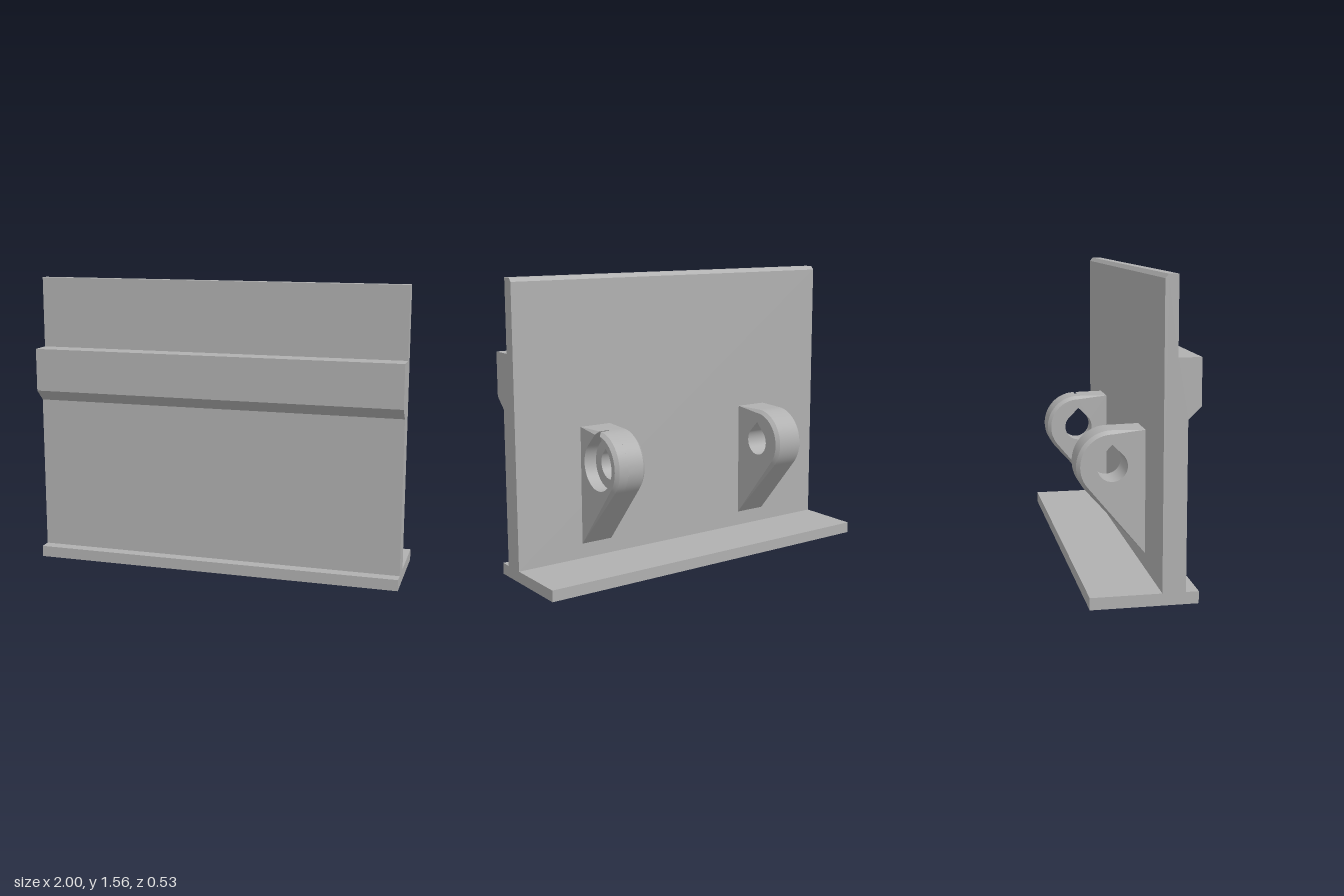
import * as THREE from 'three';
import { toCreasedNormals } from 'three/addons/utils/BufferGeometryUtils.js';

// Section coordinates are (u, y) with u = -z; parts run along x.
const BACK = -0.085;                 // rear face of the upright plate
const CU = 0.082, CY = 0.594;        // eye centre
const R = 0.18, HOLE = 0.078, POCKET = 0.132;
const HALF = 0.09, CHAMFER = 0.018, FLOOR = 0.02;
const rad = THREE.MathUtils.degToRad;

// Clockwise round-bottomed arc of a teardrop, open at its 45 degree shoulders
function dropArc(r) {
  const pts = [];
  for (let i = 0; i <= 36; i++) {
    const a = rad(45 - 270 * i / 36);
    pts.push([CU + r * Math.cos(a), CY + r * Math.sin(a)]);
  }
  return pts;
}

// Counter-clockwise lug outline: lower plate corner, tangent, eye arc, upper corner
function lugOutline(r, endDeg) {
  const du = BACK - CU, dy = 0.14 - CY;
  const start = Math.atan2(dy, du) + Math.acos(R / Math.hypot(du, dy));
  const pts = [[BACK, 0.14]];
  for (let i = 0; i <= 24; i++) {
    const a = start + (rad(endDeg) - start) * i / 24;
    pts.push([CU + r * Math.cos(a), CY + r * Math.sin(a)]);
  }
  return pts;
}

// Collects triangles given in (u, y, x)
class Builder {
  constructor() { this.pos = []; }
  tri(a, b, c) {
    const v = [a, b, c].map(p => new THREE.Vector3(p[2], p[1], -p[0]));
    const n = v[1].clone().sub(v[0]).cross(v[2].clone().sub(v[0]));
    if (n.length() < 1e-9) return;
    v.forEach(p => this.pos.push(p.x, p.y, p.z));
  }
  strip(a, b) {
    a.forEach((p, i) => {
      const j = (i + 1) % a.length;
      this.tri(p, a[j], b[j]);
      this.tri(p, b[j], b[i]);
    });
  }
  face(contour, holes, x, dir) {
    const v2 = l => l.map(p => new THREE.Vector2(p[0], p[1]));
    const all = [contour, ...holes].flat().map(p => [p[0], p[1], x]);
    for (const [i, j, k] of THREE.ShapeUtils.triangulateShape(v2(contour), holes.map(v2))) {
      const [a, b, c] = [all[i], all[j], all[k]];
      const area = (b[0] - a[0]) * (c[1] - a[1]) - (b[1] - a[1]) * (c[0] - a[0]);
      if (area * dir > 0) this.tri(a, b, c); else this.tri(a, c, b);
    }
  }
  geometry() {
    const g = new THREE.BufferGeometry();
    g.setAttribute('position', new THREE.Float32BufferAttribute(this.pos, 3));
    return toCreasedNormals(g, rad(20));
  }
}

const at = (loop, x) => loop.map(p => [p[0], p[1], x]);

// Hinge lug; the pocketed one has a wider teardrop recess breaking out at the top
function lugGeometry(pocketed) {
  const b = new Builder();
  const top = CY + R;
  const closed = r => [...lugOutline(r, 90), [BACK, top]];
  // chamfer fades to nothing where the lug meets the plate
  const edge = (loop, side) => loop.map(p => [p[0], p[1], side * (HALF - (p[0] === BACK ? 0 : CHAMFER))]);
  const outer = closed(R), inner = closed(R - CHAMFER);
  const hole = [[CU, CY + HOLE * Math.SQRT2], ...dropArc(HOLE)];

  b.face(inner, [hole], -HALF, -1);
  b.strip(at(inner, -HALF), edge(outer, -1));
  if (!pocketed) {
    b.strip(edge(outer, -1), edge(outer, 1));
    b.strip(edge(outer, 1), at(inner, HALF));
    b.strip(at(hole, -HALF), at(hole, HALF));
    b.face(inner, [hole], HALF, 1);
    return b.geometry();
  }

  b.strip(edge(outer, -1), at(outer, FLOOR));
  b.strip(at(hole, -HALF), at(hole, FLOOR));
  // Outline that dips through the slot and round the pocket
  const arc = dropArc(POCKET);
  const slotted = r => {
    const y = CY + r, s = CY + POCKET * Math.SQRT2 - y;
    return [...lugOutline(r, 80).slice(0), [CU + s, y], ...arc, [CU - s, y], [BACK, top]];
  };
  const full = slotted(R), inset = slotted(R - CHAMFER);
  const rim = full.map((p, i) => {
    const same = Math.hypot(p[0] - inset[i][0], p[1] - inset[i][1]) < 1e-6;
    return [p[0], p[1], same ? HALF : HALF - CHAMFER];
  });
  b.strip(at(full, FLOOR), rim);
  b.strip(rim, at(inset, HALF));
  b.face(inset, [], HALF, 1);
  const s = CY + POCKET * Math.SQRT2 - top;
  b.face([[CU + s, top], ...arc, [CU - s, top]], [hole], FLOOR, 1);
  return b.geometry();
}

export function createModel() {
  const group = new THREE.Group();
  group.name = 'hingedRail';
  const grey = new THREE.MeshStandardMaterial({ color: 0xb0b0b0 });
  grey.name = 'grey';

  // Constant section: foot, upright, front ledge and chamfered top
  const section = [
    [-0.263, 0], [0.263, 0], [0.263, 0.06], [BACK, 0.06], [BACK, 1.54], [-0.102, 1.56],
    [-0.15, 1.56], [-0.15, 1.18], [-0.263, 1.18], [-0.263, 0.95], [-0.2, 0.89],
    [-0.2, 0.06], [-0.263, 0.06],
  ];
  const shape = new THREE.Shape(section.map(p => new THREE.Vector2(...p)));
  const railGeo = new THREE.ExtrudeGeometry(shape, { depth: 2, bevelEnabled: false });
  railGeo.translate(0, 0, -1).rotateY(Math.PI / 2);
  const rail = new THREE.Mesh(railGeo, grey);
  rail.name = 'rail';
  group.add(rail);

  // Pair of hinge lugs on the rear face
  for (const side of [-1, 1]) {
    const lug = new THREE.Mesh(lugGeometry(side > 0), grey);
    lug.name = side > 0 ? 'leftLug' : 'rightLug';
    lug.position.x = side * 0.53;
    group.add(lug);
  }
  return group;
}
